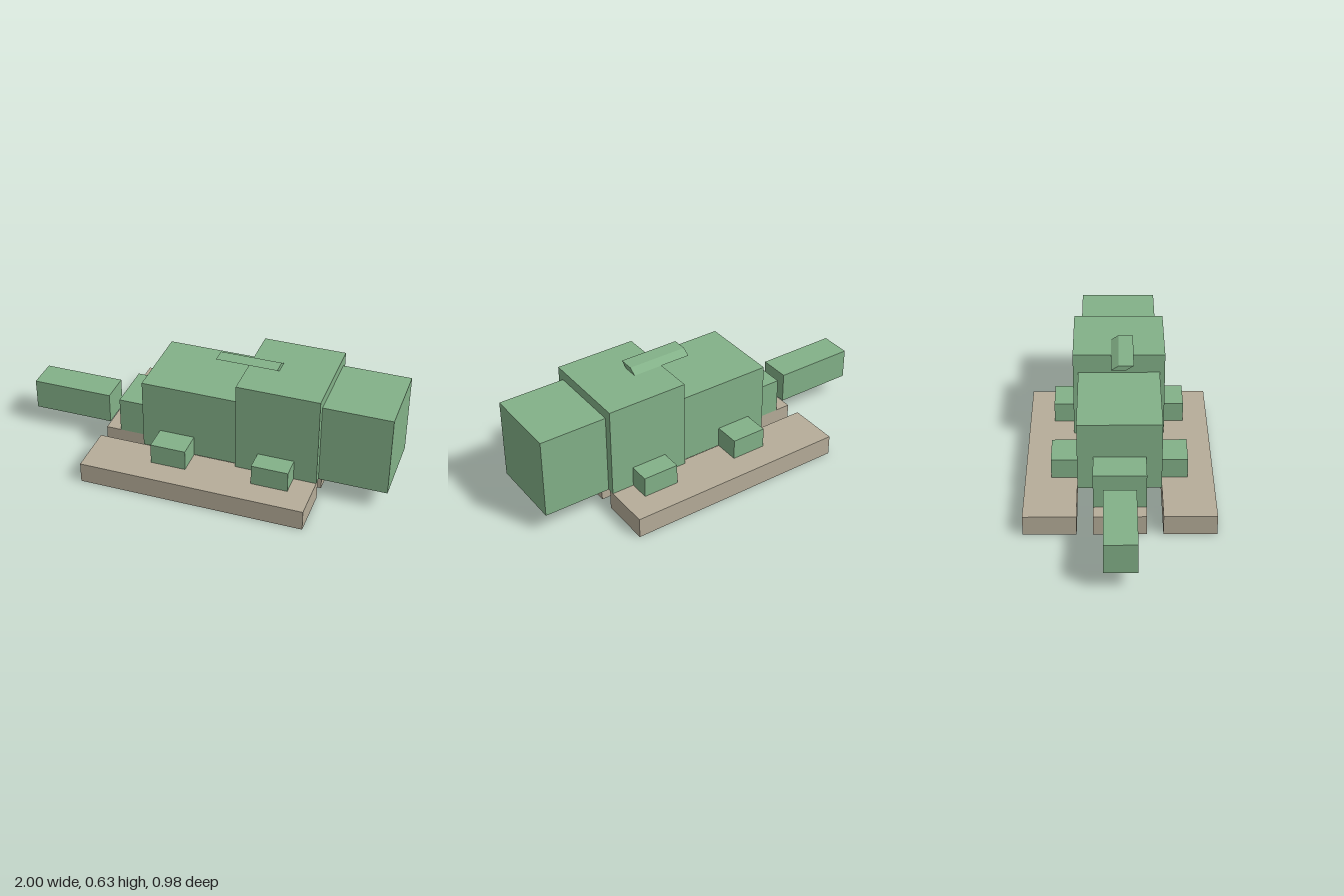
import * as THREE from 'three';

export function createModel() {
  const model = new THREE.Group();
  const green = new THREE.MeshStandardMaterial({ name: 'green', color: 0x83b188 });
  const tan = new THREE.MeshStandardMaterial({ name: 'tan', color: 0xb6ad99 });

  // Box given by its extents on each axis
  const block = (name, [x0, x1], [y0, y1], [z0, z1], material) => {
    const mesh = new THREE.Mesh(new THREE.BoxGeometry(x1 - x0, y1 - y0, z1 - z0), material);
    mesh.position.set((x0 + x1) / 2, (y0 + y1) / 2, (z0 + z1) / 2);
    mesh.name = name;
    model.add(mesh);
    return mesh;
  };

  // Three base planks
  const deck = 0.11;
  for (const [name, z] of [['leftPlank', -0.355], ['middlePlank', 0], ['rightPlank', 0.355]]) {
    block(name, [-0.562, 0.64], [0, deck], [z - 0.136, z + 0.136], tan);
  }

  // Row of body blocks: name, x extents, top, half width
  for (const [name, x, top, half] of [
    ['tail', [-1, -0.564], 0.277, 0.083],
    ['rump', [-0.481, -0.315], 0.303, 0.136],
    ['body', [-0.315, 0.203], 0.496, 0.218],
    ['shoulders', [0.203, 0.64], 0.603, 0.246],
    ['head', [0.64, 1], 0.55, 0.205],
  ]) block(name, x, [deck, top], [-half, half], green);

  // Feet, mirrored on both sides
  for (const side of [-1, 1]) {
    for (const [name, x, inner] of [['backFoot', [-0.22, -0.031], 0.218], ['frontFoot', [0.325, 0.519], 0.246]]) {
      const z = side > 0 ? [inner, 0.356] : [-0.356, -inner];
      block(name, x, [deck, 0.221], z, green);
    }
  }

  // Slanted fin: a box sheared sideways along z
  const fin = block('fin', [0.04, 0.366], [0.605, 0.631], [-0.022, 0.057], green);
  const shear = new THREE.Matrix4().set(1, 0, 0, 0, 0, 1, 0, 0, 0, 1.5, 1, 0, 0, 0, 0, 1);
  fin.geometry.applyMatrix4(shear);
  fin.geometry = fin.geometry.toNonIndexed();
  fin.geometry.computeVertexNormals();

  return model;
}
